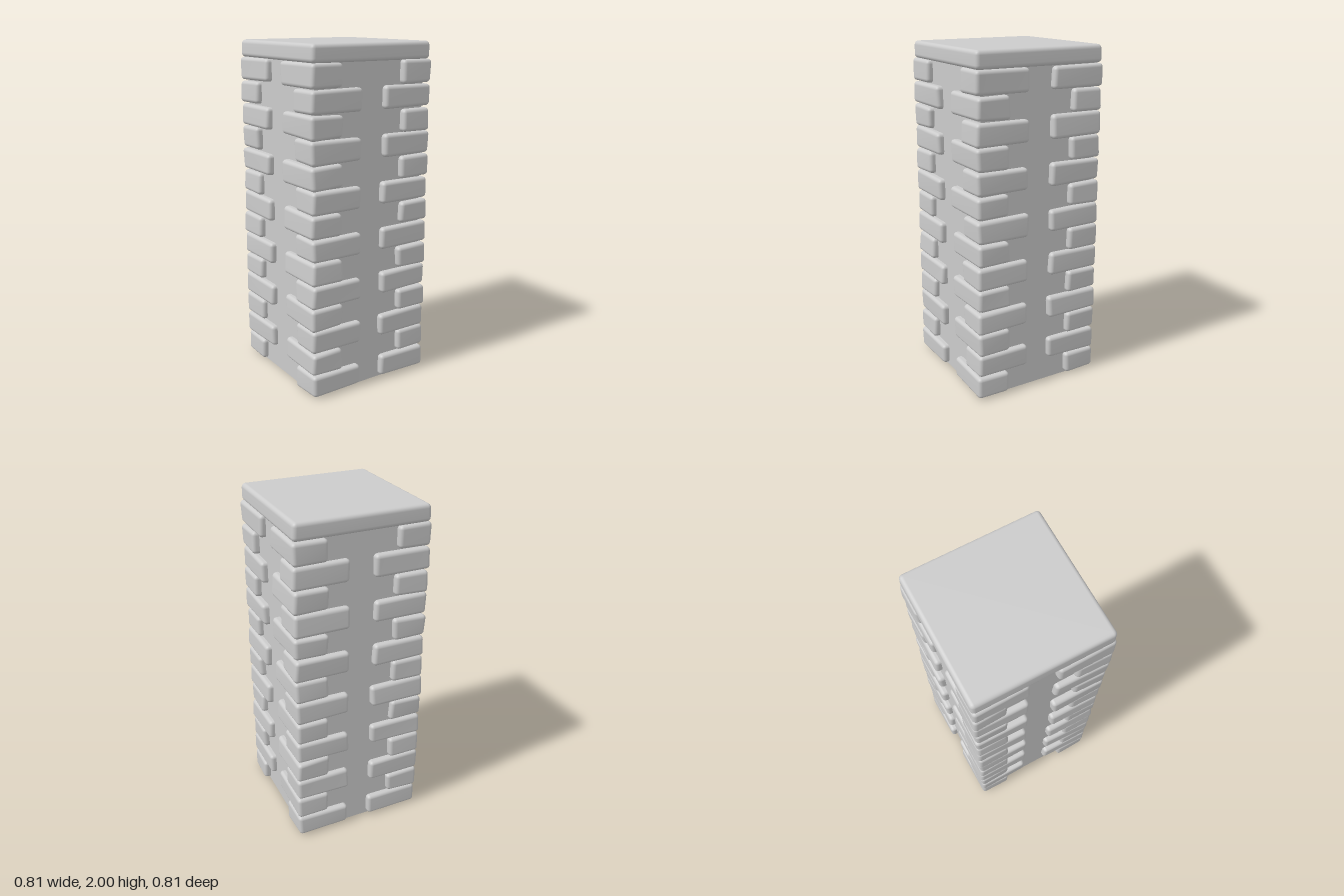
import * as THREE from 'three';
import { RoundedBoxGeometry } from 'three/addons/geometries/RoundedBoxGeometry.js';
import { mergeVertices } from 'three/addons/utils/BufferGeometryUtils.js';

const COURSES = 14, TOP = 1.9, PITCH = (TOP - 0.005) / COURSES;
const OUTER = 0.402, CORE = 0.365, LONG = 0.327, SHORT = 0.2;

// Seeded random numbers in -1..1
function seeded(seed) {
  let s = seed;
  return () => {
    s = (s * 16807) % 2147483647;
    return (s / 2147483647) * 2 - 1;
  };
}

// Rounded block whose eight corners are shifted a little, blended across the body
function roughBlock(w, h, d, radius, wobble, rand) {
  let geo = new RoundedBoxGeometry(w, h, d, 3, radius);
  geo.deleteAttribute('normal');
  geo.deleteAttribute('uv');
  geo = mergeVertices(geo, 1e-5);
  const shifts = Array.from({ length: 8 }, () =>
    new THREE.Vector3(rand() * wobble.x, rand() * wobble.y, rand() * wobble.z));
  const pos = geo.attributes.position, v = new THREE.Vector3();
  for (let i = 0; i < pos.count; i++) {
    v.fromBufferAttribute(pos, i);
    const t = [v.x / w + 0.5, v.y / h + 0.5, v.z / d + 0.5];
    shifts.forEach((s, c) => {
      const weight = t.reduce((p, k, axis) => p * ((c >> axis) & 1 ? k : 1 - k), 1);
      v.addScaledVector(s, weight);
    });
    pos.setXYZ(i, v.x, v.y, v.z);
  }
  geo.computeVertexNormals();
  return geo;
}

export function createModel() {
  const model = new THREE.Group();
  model.name = 'stonePillar';
  const stone = new THREE.MeshStandardMaterial({ color: 0xcccccc });
  const rand = seeded(4271);

  const add = (name, geo, x, y, z, parent = model) => {
    const mesh = new THREE.Mesh(geo, stone);
    mesh.name = name;
    mesh.position.set(x, y, z);
    parent.add(mesh);
  };

  // Plain shaft
  add('shaft', new THREE.BoxGeometry(CORE * 2, TOP + 0.02, CORE * 2), 0, (TOP + 0.02) / 2, 0);

  // Flat cap slab
  add('capSlab', roughBlock(0.79, 0.1, 0.796, 0.024, new THREE.Vector3(0.003, 0.001, 0.003), rand), 0, 1.949, 0);

  // Corner stones: long and short faces alternate with each course
  const wobble = new THREE.Vector3(0.006, 0.005, 0.006);
  for (const sx of [-1, 1]) for (const sz of [-1, 1]) {
    const corner = new THREE.Group();
    corner.name = (sz > 0 ? 'front' : 'back') + (sx > 0 ? 'Left' : 'Right') + 'CornerStones';
    for (let i = 0; i < COURSES; i++) {
      const w = (i % 2 ? SHORT : LONG) + rand() * 0.006;
      const d = (i % 2 ? LONG : SHORT) + rand() * 0.006;
      add('cornerStone', roughBlock(w, PITCH - 0.006, d, 0.022, wobble, rand),
        sx * (OUTER - w / 2), 0.006 + PITCH * (i + 0.5), sz * (OUTER - d / 2), corner);
    }
    model.add(corner);
  }
  return model;
}
